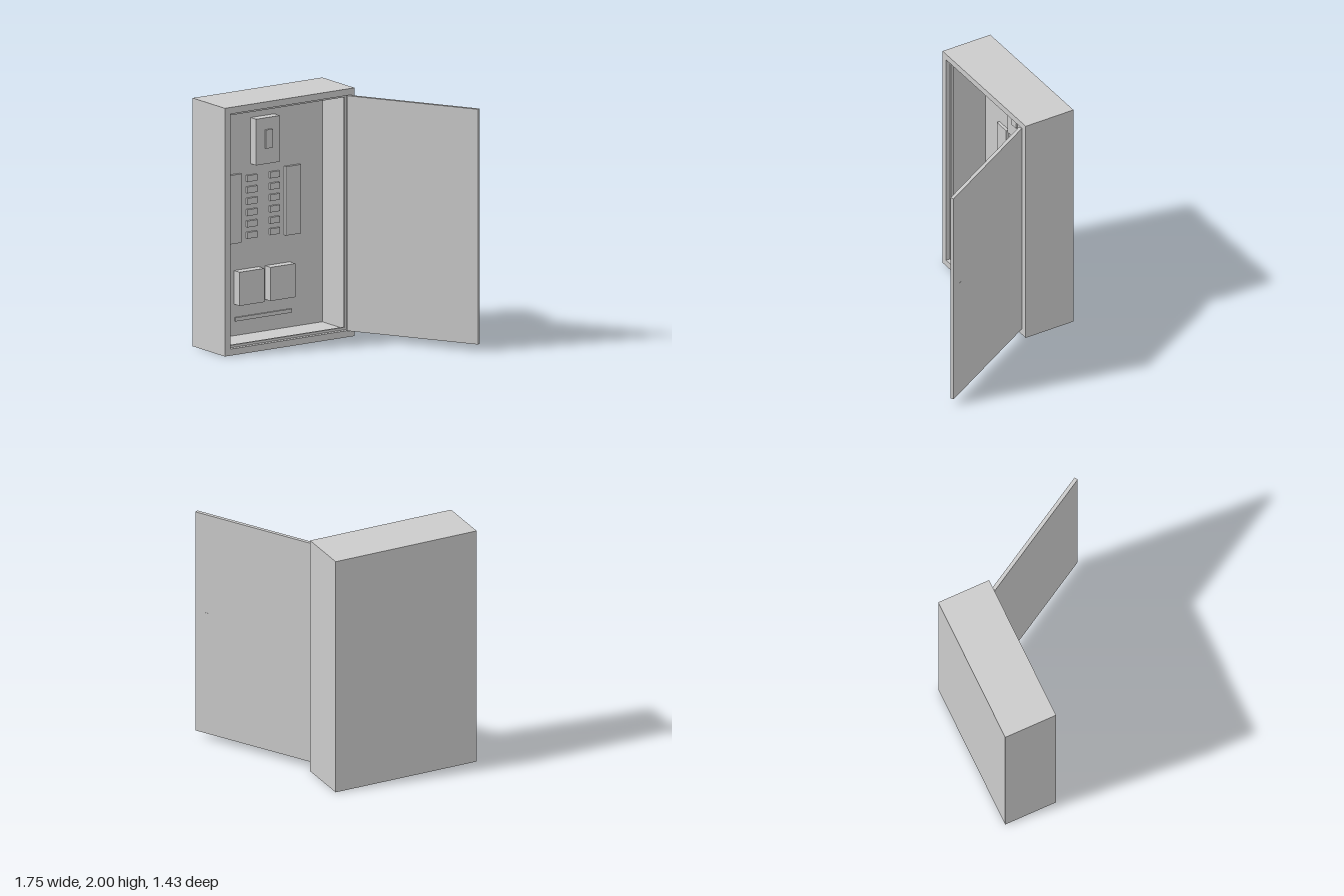
import * as THREE from 'three';

const material = new THREE.MeshStandardMaterial({ color: 0xcccccc, flatShading: true });

// Box given by its limits on each axis
function box(name, [x0, x1], [y0, y1], [z0, z1]) {
  const geometry = new THREE.BoxGeometry(x1 - x0, y1 - y0, z1 - z0);
  geometry.translate((x0 + x1) / 2, (y0 + y1) / 2, (z0 + z1) / 2);
  const mesh = new THREE.Mesh(geometry, material);
  mesh.name = name;
  return mesh;
}

// Rectangular ring of even width, extruded from z0 to z1
function frame(name, [x0, x1], [y0, y1], width, [z0, z1]) {
  const corners = (d) => [
    [x0 + d, y0 + d], [x1 - d, y0 + d], [x1 - d, y1 - d], [x0 + d, y1 - d],
  ].map(([x, y]) => new THREE.Vector2(x, y));
  const shape = new THREE.Shape(corners(0));
  shape.holes.push(new THREE.Path(corners(width).reverse()));
  const geometry = new THREE.ExtrudeGeometry(shape, { depth: z1 - z0, bevelEnabled: false });
  geometry.translate(0, 0, z0);
  const mesh = new THREE.Mesh(geometry, material);
  mesh.name = name;
  return mesh;
}

export function createModel() {
  const model = new THREE.Group();
  model.name = 'electricalCabinet';
  const back = -0.645; // inner face of the back wall

  // Enclosure: open-fronted shell with a narrow door stop inside the opening
  const enclosure = new THREE.Group();
  enclosure.name = 'enclosure';
  enclosure.add(
    frame('sideWalls', [-0.88, 0.365], [0, 2], 0.053, [back, -0.28]),
    box('backWall', [-0.88, 0.365], [0, 2], [-0.72, back]),
    frame('doorStop', [-0.827, 0.312], [0.053, 1.947], 0.02, [-0.335, -0.315]),
  );
  model.add(enclosure);

  // Equipment mounted on the back wall
  const equipment = new THREE.Group();
  equipment.name = 'equipment';
  equipment.add(
    box('mainBreaker', [-0.375, -0.147], [1.418, 1.79], [back, -0.57]),
    box('mainSwitch', [-0.292, -0.227], [1.545, 1.695], [-0.57, -0.553]),
    box('leftTerminalStrip', [-0.62, -0.48], [0.8, 1.355], [back, -0.62]),
    box('rightTerminalStrip', [-0.053, 0.09], [0.8, 1.355], [back, -0.62]),
    box('leftContactor', [-0.535, -0.297], [0.307, 0.578], [back, -0.57]),
    box('rightContactor', [-0.238, 0], [0.307, 0.578], [back, -0.57]),
    box('groundBar', [-0.53, 0.01], [0.17, 0.2], [back, -0.63]),
  );
  // Two columns of small breakers
  for (const [x0, x1] of [[-0.418, -0.322], [-0.197, -0.11]]) {
    for (let row = 0; row < 6; row++) {
      const y = 0.822 + row * 0.0915;
      equipment.add(box('circuitBreaker', [x0, x1], [y, y + 0.051], [back, -0.625]));
    }
  }
  model.add(equipment);

  // Door swung open about its hinge edge, with a nearly flush pull near the free edge
  const door = new THREE.Group();
  door.name = 'door';
  door.add(
    box('doorPanel', [0, 1.13], [0.055, 1.95], [0, 0.03]),
    box('doorPull', [1.0, 1.034], [0.93, 1.1], [-0.002, 0.01]),
  );
  door.position.set(0.31, 0, -0.28);
  door.rotation.y = -Math.PI / 3;
  model.add(door);

  return model;
}
